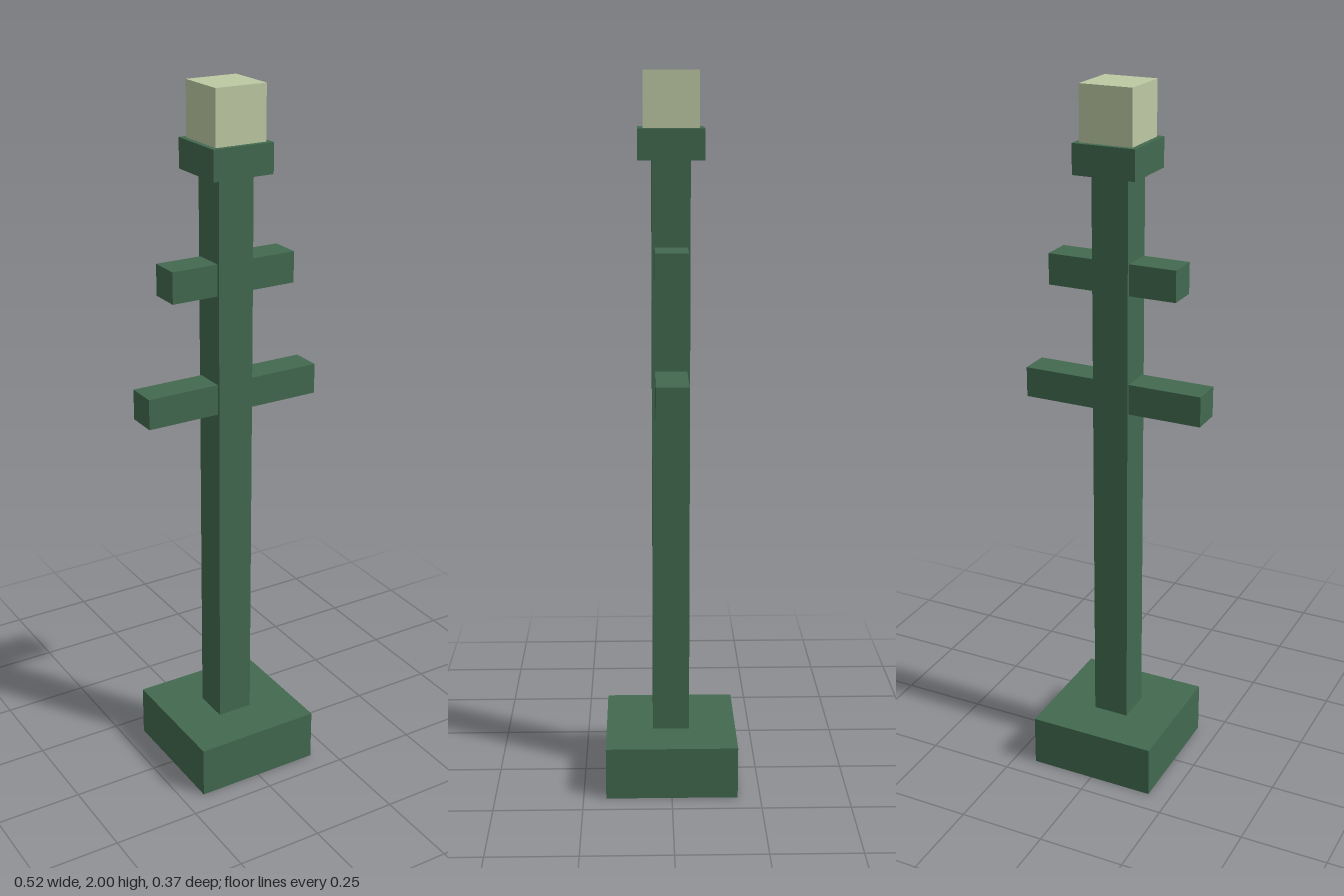
import * as THREE from 'three';

export function createModel() {
  const group = new THREE.Group();
  group.name = 'lampPost';

  const green = new THREE.MeshStandardMaterial({ color: 0x42694f });
  green.name = 'green paint';
  const glow = new THREE.MeshStandardMaterial({ color: 0xbdc9a3 });
  glow.name = 'pale lamp glass';

  // Box centred on the y axis, spanning heights y0 to y1
  function block(name, width, depth, y0, y1, material) {
    const mesh = new THREE.Mesh(new THREE.BoxGeometry(width, y1 - y0, depth), material);
    mesh.name = name;
    mesh.position.y = (y0 + y1) / 2;
    group.add(mesh);
  }

  block('base', 0.372, 0.372, 0, 0.15, green);
  block('post', 0.104, 0.104, 0.15, 1.77, green);

  // Crossbars, slightly thinner than the post
  block('lowerCrossbar', 0.524, 0.088, 1.117, 1.203, green);
  block('upperCrossbar', 0.372, 0.088, 1.453, 1.54, green);

  // Lamp head
  block('collar', 0.178, 0.178, 1.77, 1.852, green);
  block('lamp', 0.149, 0.149, 1.852, 2, glow);

  return group;
}
